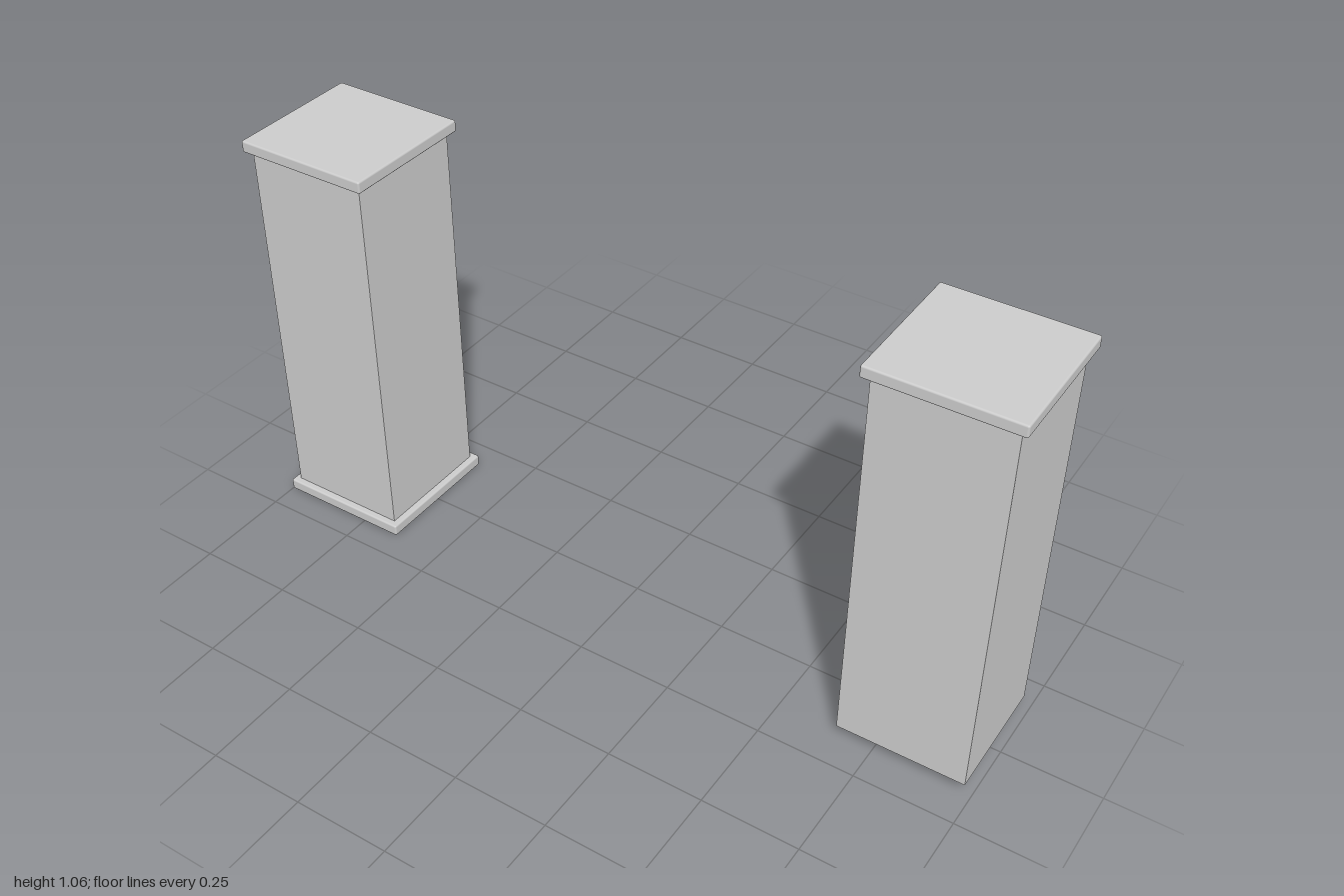
import * as THREE from 'three';
import { RoundedBoxGeometry } from 'three/addons/geometries/RoundedBoxGeometry.js';

const SHAFT = 0.325, SLAB = 0.36, SLAB_H = 0.031, HEIGHT = 1.063;

export function createModel() {
  const model = new THREE.Group();
  model.name = 'pillarPair';
  const slabMaterial = new THREE.MeshStandardMaterial({ color: 0xcccccc });
  const shaftMaterial = new THREE.MeshStandardMaterial({
    color: 0xcccccc, flatShading: true, side: THREE.DoubleSide,
  });

  // Thin square slab with softened edges, used for caps and base
  const slabGeometry = new RoundedBoxGeometry(SLAB, SLAB_H, SLAB, 2, 0.005);
  // Hollow four-sided shaft, open at both ends
  const shaftHeight = HEIGHT - 2 * SLAB_H;
  const shaftRadius = SHAFT / Math.SQRT2;
  const shaftGeometry = new THREE.CylinderGeometry(
    shaftRadius, shaftRadius, shaftHeight, 4, 1, true, Math.PI / 4);

  const addPart = (parent, name, geometry, material, y) => {
    const mesh = new THREE.Mesh(geometry, material);
    mesh.name = name;
    mesh.position.y = y;
    parent.add(mesh);
  };

  for (const side of [-1, 1]) {
    const pillar = new THREE.Group();
    pillar.name = side < 0 ? 'rightPillar' : 'leftPillar';
    pillar.position.x = side * (1 - SLAB / 2);
    addPart(pillar, 'shaft', shaftGeometry, shaftMaterial, HEIGHT / 2);
    addPart(pillar, 'cap', slabGeometry, slabMaterial, HEIGHT - SLAB_H / 2);
    // Only the right pillar stands on a base; the other is open below
    if (side < 0) addPart(pillar, 'base', slabGeometry, slabMaterial, SLAB_H / 2);
    model.add(pillar);
  }
  return model;
}
